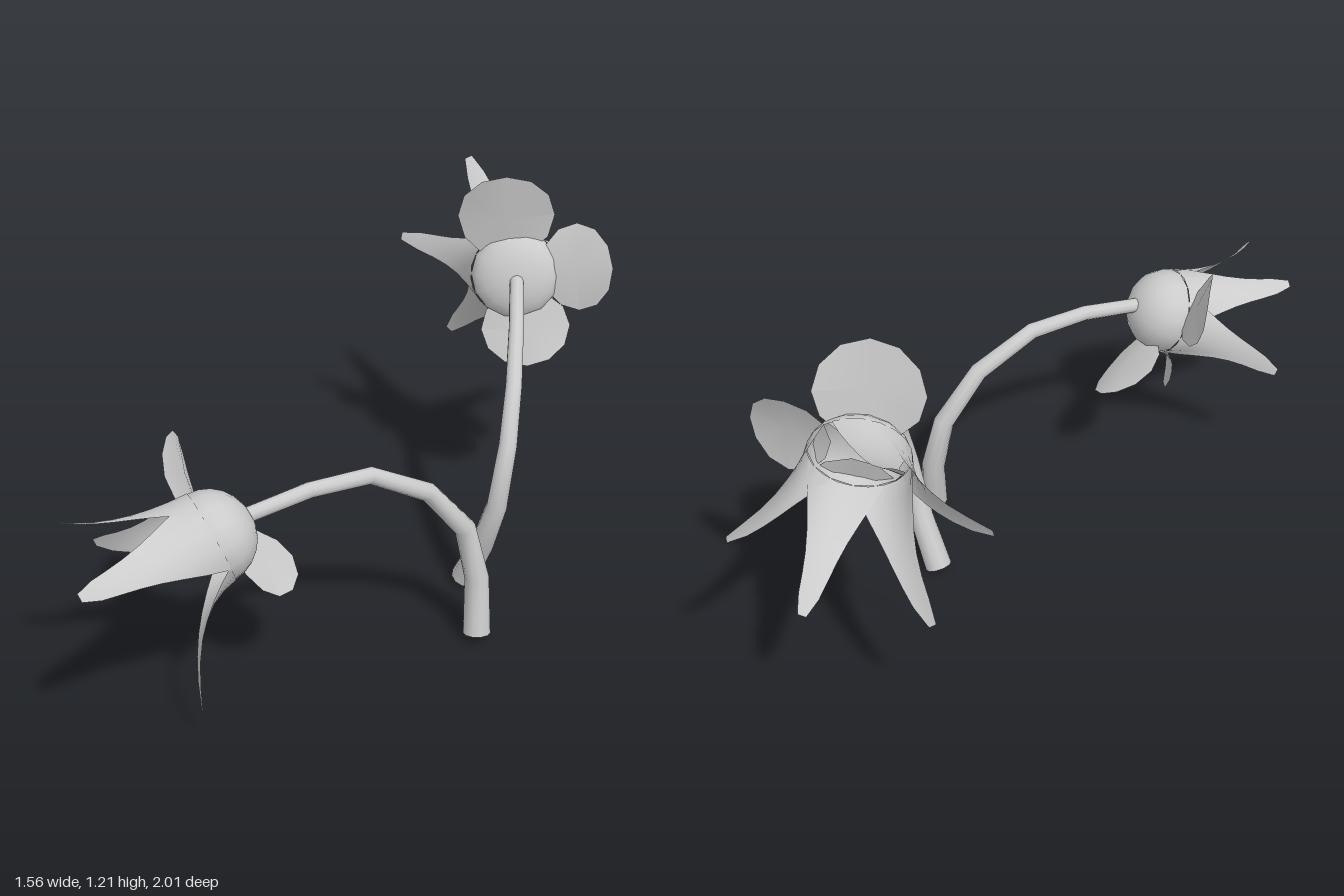
import * as THREE from 'three';

const V = (p) => new THREE.Vector3(...p);
const UP = new THREE.Vector3(0, 1, 0);
const solid = new THREE.MeshStandardMaterial({ color: 0xcccccc });
const thin = new THREE.MeshStandardMaterial({ color: 0xcccccc, side: THREE.DoubleSide });

function addMesh(parent, name, geometry, material = thin) {
  const mesh = new THREE.Mesh(geometry, material);
  mesh.name = name;
  parent.add(mesh);
  return mesh;
}

// Tapered, curved stalk with a flat cap at its foot; one ring per point
function makeStem(points, r0, r1) {
  const group = new THREE.Group();
  group.name = 'stem';
  const curve = new THREE.CatmullRomCurve3(points.map(V));
  curve.getPointAt = curve.getPoint;
  curve.getTangentAt = curve.getTangent;
  const rings = points.length - 1, sides = 10;
  const geo = new THREE.TubeGeometry(curve, rings, 1, sides);
  const pos = geo.attributes.position, p = new THREE.Vector3();
  for (let i = 0; i < pos.count; i++) {
    const t = Math.floor(i / (sides + 1)) / rings;
    const c = curve.getPoint(t);
    p.fromBufferAttribute(pos, i).sub(c).multiplyScalar(r1 + (r0 - r1) * (1 - t) ** 1.6).add(c);
    pos.setXYZ(i, p.x, p.y, p.z);
  }
  addMesh(group, 'stalk', geo, solid);
  const foot = addMesh(group, 'stalkFoot', new THREE.CircleGeometry(r0, sides));
  foot.position.copy(curve.getPoint(0));
  foot.quaternion.setFromUnitVectors(new THREE.Vector3(0, 0, 1), curve.getTangent(0).negate());
  return group;
}

// Long petal: lofted from the cup rim to a narrow, flared tip
function longPetal(center, axis, radius, tip) {
  const rel = tip.clone().sub(center);
  const reach = rel.dot(axis);
  const out = rel.clone().addScaledVector(axis, -reach).normalize();
  const side = new THREE.Vector3().crossVectors(axis, out);
  const start = center.clone().addScaledVector(out, radius * 1.01);
  const bend = start.clone().addScaledVector(axis, 0.6 * reach).addScaledVector(out, 0.01);
  const curve = new THREE.QuadraticBezierCurve3(start, bend, tip);
  const widths = [0.115, 0.098, 0.078, 0.06, 0.047, 0.038, 0.03, 0.013];
  const rows = widths.length - 1, cols = 6;
  const verts = [], index = [];
  widths.forEach((w, i) => {
    const t = i / rows, c = curve.getPoint(t);
    for (let j = 0; j <= cols; j++) {
      const s = (j / cols) * 2 - 1;
      const a = s * Math.asin(w / radius);
      const p = c.clone().addScaledVector(side, radius * Math.sin(a))
        .addScaledVector(out, -radius * (1 - Math.cos(a)) * (1 - 0.5 * t));
      verts.push(p.x, p.y, p.z);
      if (i < rows && j < cols) {
        const k = i * (cols + 1) + j, n = k + cols + 1;
        index.push(k, k + 1, n, k + 1, n + 1, n);
      }
    }
  });
  const geo = new THREE.BufferGeometry();
  geo.setAttribute('position', new THREE.Float32BufferAttribute(verts, 3));
  geo.setIndex(index);
  geo.computeVertexNormals();
  return geo;
}

// Rounded, slightly cupped petal spreading out from the rim
function roundPetal(axis, center, tip, halfWidth) {
  const y = tip.clone().sub(center);
  const half = y.length();
  y.normalize();
  const x = new THREE.Vector3().crossVectors(axis, y).normalize();
  const z = new THREE.Vector3().crossVectors(x, y);
  const geo = new THREE.CircleGeometry(1, 12);
  const pos = geo.attributes.position;
  for (let i = 0; i < pos.count; i++) pos.setZ(i, -0.025 * pos.getX(i) ** 2);
  geo.scale(halfWidth, half, 1)
    .applyMatrix4(new THREE.Matrix4().makeBasis(x, y, z).setPosition(center));
  geo.computeVertexNormals();
  return geo;
}

function makeFlower({ name, center, axis, radius, depth, tips, rounds }) {
  const flower = new THREE.Group();
  flower.name = name;
  const c = V(center), a = V(axis).normalize();
  // Domed cup, open toward the petals
  const cup = addMesh(flower, 'cup',
    new THREE.SphereGeometry(radius, 14, 6, 0, Math.PI * 2, 0, Math.PI / 2));
  cup.position.copy(c);
  cup.scale.y = depth / radius;
  cup.quaternion.setFromUnitVectors(UP, a.clone().negate());
  for (const tip of tips) addMesh(flower, 'longPetal', longPetal(c, a, radius, V(tip)));
  for (const [mid, end, width, facing] of rounds) {
    addMesh(flower, 'roundPetal', roundPetal(V(facing).normalize(), V(mid), V(end), width));
  }
  return flower;
}

export function createModel() {
  const model = new THREE.Group();
  model.name = 'flowerPair';

  // Rear plant
  model.add(makeStem([
    [0.33, 0.02, -0.095], [0.385, 0.18, -0.04], [0.425, 0.35, 0.017], [0.452, 0.54, -0.025],
    [0.465, 0.685, -0.14], [0.47, 0.8, -0.325], [0.47, 0.865, -0.55],
  ], 0.042, 0.023));
  const rearAxis = [0, -0.22, -1];
  model.add(makeFlower({
    name: 'rearFlower', center: [0.467, 0.862, -0.605], axis: rearAxis, radius: 0.144, depth: 0.07,
    tips: [
      [0.08, 0.86, -0.92], [0.3, 1.12, -1.0], [0.78, 0.8, -0.91],
      [0.6, 0.55, -0.92], [0.25, 0.52, -0.91],
    ],
    rounds: [
      [[0.43, 1.06, -0.585], [0.425, 1.21, -0.56], 0.155, rearAxis],
      [[0.66, 0.905, -0.565], [0.775, 0.92, -0.535], 0.143, rearAxis],
      [[0.505, 0.7, -0.54], [0.515, 0.58, -0.505], 0.145, rearAxis],
    ],
  }));

  // Front plant
  model.add(makeStem([
    [0.375, 0.025, 0.235], [0.37, 0.2, 0.197], [0.33, 0.375, 0.2], [0.22, 0.53, 0.265],
    [0.055, 0.63, 0.355], [-0.11, 0.635, 0.46], [-0.29, 0.603, 0.57],
  ], 0.042, 0.023));
  const frontAxis = [-0.82, -0.36, 0.41];
  model.add(makeFlower({
    name: 'frontFlower', center: [-0.372, 0.558, 0.608], axis: frontAxis, radius: 0.138, depth: 0.127,
    tips: [
      [-0.78, 0.63, 0.68], [-0.74, 0.43, 0.45], [-0.385, 0.11, 0.81], [-0.66, 0.595, 1.0],
    ],
    rounds: [
      [[-0.465, 0.67, 0.45], [-0.505, 0.775, 0.39], 0.12, [-0.92, -0.36, 0.05]],
      [[-0.245, 0.425, 0.48], [-0.17, 0.37, 0.385], 0.13, frontAxis],
    ],
  }));
  return model;
}
